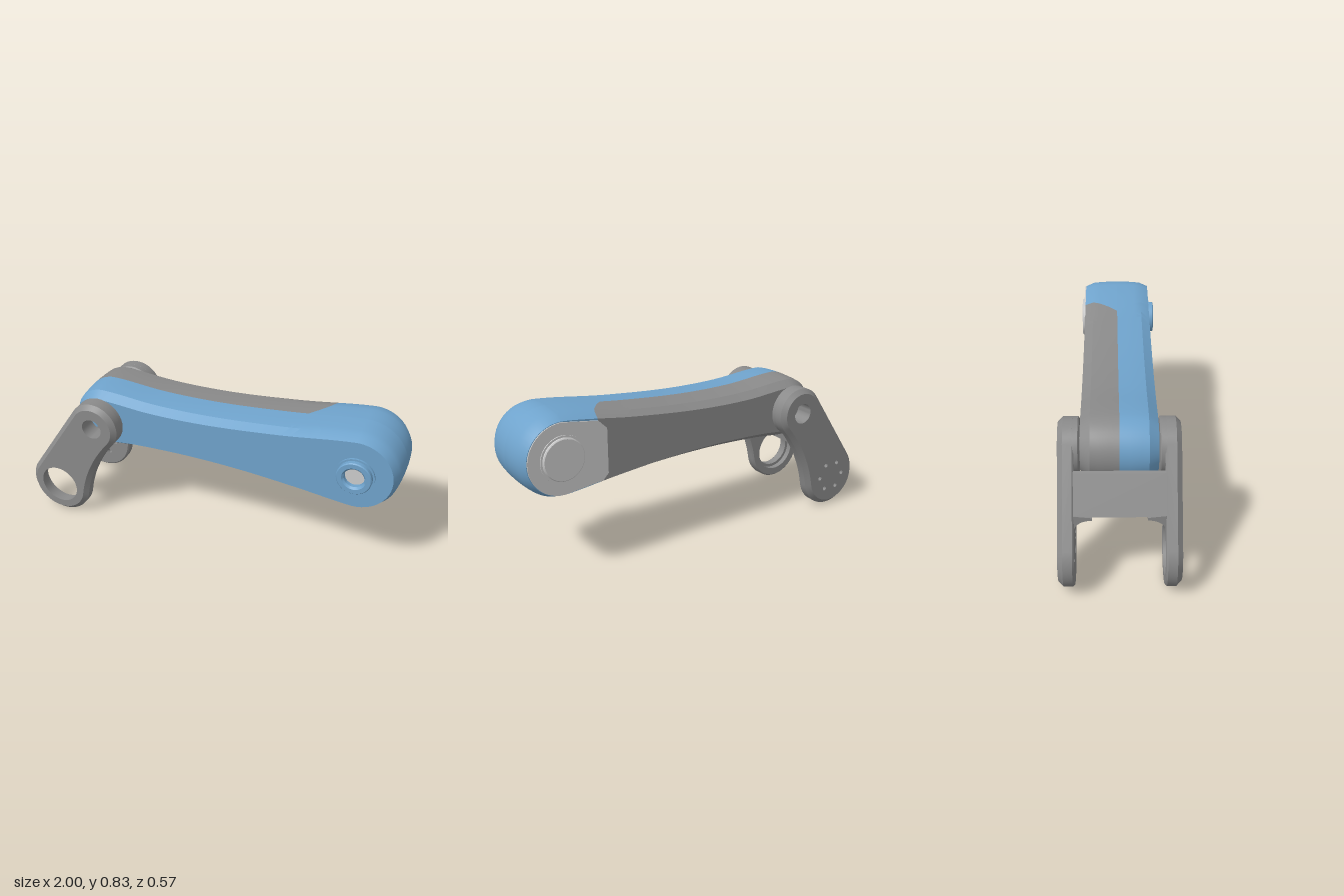
import * as THREE from 'three';
import { toCreasedNormals } from 'three/addons/utils/BufferGeometryUtils.js';

const paint = (color) => new THREE.MeshStandardMaterial({ color, side: THREE.DoubleSide });
const blue = paint(0x6fa3cc);
const dark = paint(0x8a8a8a);
const light = paint(0xcccccc);

const ELBOW = [-0.59, 0.6];   // bracket end of the arm
const WRIST = [0.79, 0.625];  // wide end of the arm
const HIP = [-0.83, 0.18];    // lower end of the bracket

function add(parent, name, geometry, material, x = 0, y = 0, z = 0) {
  const mesh = new THREE.Mesh(geometry, material);
  mesh.name = name;
  mesh.position.set(x, y, z);
  parent.add(mesh);
  return mesh;
}

// Points on an arc, angles in degrees
function arc([cx, cy], r, from, to, n = 24) {
  return Array.from({ length: n + 1 }, (_, i) => {
    const a = THREE.MathUtils.degToRad(from + ((to - from) * i) / n);
    return new THREE.Vector2(cx + r * Math.cos(a), cy + r * Math.sin(a));
  });
}

// Skin through cross-sections [{ z, points }]
function loft(sections, closed) {
  const n = sections[0].points.length, pos = [], index = [];
  for (const s of sections) for (const p of s.points) pos.push(p.x, p.y, s.z);
  for (let i = 0; i < sections.length - 1; i++) {
    for (let j = 0; j < (closed ? n : n - 1); j++) {
      const a = i * n + j, b = i * n + ((j + 1) % n);
      index.push(a, b, b + n, a, b + n, a + n);
    }
  }
  const g = new THREE.BufferGeometry();
  g.setAttribute('position', new THREE.Float32BufferAttribute(pos, 3));
  g.setIndex(index);
  return toCreasedNormals(g, 0.35);
}

// Turned part along z from [radius, z] pairs
function turned(profile, n = 40) {
  const g = new THREE.LatheGeometry(profile.map(([r, z]) => new THREE.Vector2(r, z)), n);
  return toCreasedNormals(g.rotateX(Math.PI / 2), 0.5);
}

function flat(points, holes = []) {
  const shape = new THREE.Shape(points);
  for (const [x, y, r] of holes) shape.holes.push(new THREE.Path().absarc(x, y, r, 0, Math.PI * 2, true));
  return new THREE.ShapeGeometry(shape, 20);
}

// ---- arm ----
function edgeCurve(xs, ys) {
  const c = new THREE.CubicInterpolant(xs, ys, 1);
  c.settings = { endingStart: THREE.ZeroSlopeEnding, endingEnd: THREE.ZeroSlopeEnding };
  return (x) => c.evaluate(x)[0];
}
const topY = edgeCurve([-0.59, -0.3, 0, 0.4, 0.79], [0.765, 0.746, 0.75, 0.785, 0.835]);
const bottomY = edgeCurve([-0.59, -0.4, -0.1, 0.2, 0.5, 0.79], [0.435, 0.453, 0.467, 0.463, 0.442, 0.415]);
const CROWN = [[0, 0], [0.05, 0.001], [0.1, 0.004], [0.135, 0.008], [0.18, null]];

// Half of the arm outline, split at x = seam; inset is larger towards the elbow at the rim
function armOutline(half, seam, inset) {
  const inAt = (x) => inset ?? THREE.MathUtils.mapLinear(x, ELBOW[0], WRIST[0], 0.042, 0.027);
  const run = (curve, from, to, sign) => Array.from({ length: 25 }, (_, i) => {
    const x = from + ((to - from) * i) / 24;
    return new THREE.Vector2(x, curve(x) + sign * inAt(x));
  });
  const end = half === 'elbow' ? ELBOW[0] : WRIST[0];
  const top = (a, b) => run(topY, a, b, -1), bottom = (a, b) => run(bottomY, a, b, 1);
  return half === 'elbow'
    ? [...top(seam, end), ...arc(ELBOW, 0.165 - inAt(end), 90, 270).slice(1, -1), ...bottom(end, seam)]
    : [...bottom(seam, end), ...arc(WRIST, 0.21 - inAt(end), -90, 90).slice(1, -1), ...top(end, seam)];
}

function buildArm() {
  const arm = new THREE.Group();
  arm.name = 'arm';
  for (const side of [1, -1]) {
    for (const half of ['elbow', 'wrist']) {
      const sections = CROWN.map(([d, inset]) => ({
        z: side * d,
        points: armOutline(half, 0.49 + 0.11 * Math.sin((Math.PI / 2) * (d / 0.18)), inset),
      }));
      if (side < 0) sections.reverse();
      const rim = sections[side > 0 ? sections.length - 1 : 0];
      const mat = side < 0 && half === 'elbow' ? dark : blue;
      const label = half + (side > 0 ? 'Front' : 'Back');
      add(arm, label + 'Shell', loft(sections, false), mat);
      const face = add(arm, label + 'Face', flat(rim.points), mat, 0, 0, 0.18 * side);
      if (side < 0) { face.geometry.scale(1, 1, -1); face.geometry.index.array.reverse(); face.geometry.computeVertexNormals(); }
    }
  }

  // Hollow boss at the front of the wide end
  const [wx, wy] = WRIST;
  add(arm, 'wristBoss', turned([[0.097, 0.178], [0.097, 0.19], [0.0875, 0.19], [0.0875, 0.21],
    [0.083, 0.215], [0.06, 0.215], [0.05, 0.205], [0.05, 0.181]]), blue, wx, wy);
  add(arm, 'wristShaft', turned([[0.05, 0.184], [0, 0.184]]), light, wx, wy);

  // Cover plate and round cap at the back
  const plate = [...arc(WRIST, 0.18, -90, 90), new THREE.Vector2(0.6, 0.775), new THREE.Vector2(0.555, 0.73),
    new THREE.Vector2(0.555, 0.5), new THREE.Vector2(0.585, 0.468)];
  add(arm, 'coverPlate', new THREE.ExtrudeGeometry(new THREE.Shape(plate), { depth: 0.008, bevelEnabled: false }),
    light, 0, 0, -0.186);
  add(arm, 'coverRim', turned([[0.118, -0.18], [0.118, -0.191], [0.108, -0.191]]), light, wx, wy);
  add(arm, 'coverCap', turned([[0.107, -0.18], [0.107, -0.198], [0.102, -0.202], [0, -0.202]]), light, wx, wy);

  // Small port underneath, key inside the elbow joint
  add(arm, 'port', new THREE.BoxGeometry(0.06, 0.012, 0.035), light, 0.78, 0.422, 0.1);
  for (const s of [1, -1])
    add(arm, 'elbowKey', new THREE.BoxGeometry(0.045, 0.1, 0.012), dark, ...ELBOW, 0.18 * s);
  return arm;
}

// ---- bracket ----
function strutOutline(inset) {
  const low = arc(HIP, 0.172 - inset, 145.9, 350, 30);
  const high = arc(ELBOW, 0.135 - inset, -40, 145.9, 26);
  const a = low[low.length - 1], b = high[0];
  const bend = new THREE.CubicBezierCurve(a, new THREE.Vector2(a.x + 0.024, a.y + 0.138),
    new THREE.Vector2(b.x - 0.09, b.y - 0.107), b);
  return [...low, ...bend.getPoints(14).slice(1, -1), ...high];
}

function buildStrut(isFront) {
  const strut = new THREE.Group();
  strut.name = isFront ? 'frontStrut' : 'backStrut';
  const inner = 0.207, outer = 0.283;
  const bolts = arc(HIP, 0.082, 0, 300, 5).map((p) => [p.x, p.y, 0.012]);
  const pivot = [...ELBOW, 0.055];
  add(strut, 'strutEdge', loft([
    { z: inner, points: strutOutline(0.008) }, { z: inner + 0.008, points: strutOutline(0) },
    { z: outer - 0.024, points: strutOutline(0) }, { z: outer, points: strutOutline(0.024) },
  ], true), dark);
  add(strut, 'strutInnerFace', flat(strutOutline(0.008),
    [pivot, ...(isFront ? [[...HIP, 0.125]] : [...bolts, [...HIP, 0.02]])]), dark, 0, 0, inner);
  add(strut, 'strutOuterFace', flat(strutOutline(0.024),
    [pivot, ...(isFront ? [[...HIP, 0.108]] : bolts)]), dark, 0, 0, outer);

  // Collar around the elbow pivot
  add(strut, 'pivotCollar', turned([[0.135, inner + 0.01], [0.135, 0.19], [0.128, 0.184], [0.055, 0.184], [0.055, outer]]),
    dark, ...ELBOW);

  // Stepped bearing seat in front, bolt circle at the back
  if (isFront) {
    add(strut, 'bearingSeat', turned([[0.125, inner], [0.125, 0.238], [0.108, 0.238], [0.108, outer]], 48), dark, ...HIP);
  } else {
    for (const [x, y, r] of bolts) add(strut, 'boltHole', turned([[r, inner], [r, outer]], 20), dark, x, y);
    add(strut, 'centreDimple', turned([[0.02, inner], [0.02, 0.22], [0, 0.22]], 24), dark, ...HIP);
    strut.scale.z = -1;
  }
  return strut;
}

function buildBracket() {
  const bracket = new THREE.Group();
  bracket.name = 'bracket';
  bracket.add(buildStrut(true), buildStrut(false));

  // Cross web, hollowed to clear the arm
  const web = [new THREE.Vector2(-0.885, 0.405), new THREE.Vector2(-0.62, 0.385),
    ...arc(ELBOW, 0.178, 262, 188, 16), new THREE.Vector2(-0.78, 0.57)];
  add(bracket, 'crossWeb', toCreasedNormals(new THREE.ExtrudeGeometry(new THREE.Shape(web),
    { depth: 0.42, bevelEnabled: false }), 0.4), dark, 0, 0, -0.21);

  // Fillets under the web
  for (const s of [1, -1]) {
    const f = new THREE.Shape();
    f.moveTo(-0.21 * s, 0.41);
    f.lineTo(-0.21 * s, 0.325);
    f.bezierCurveTo(-0.205 * s, 0.362, -0.175 * s, 0.386, -0.125 * s, 0.386);
    f.lineTo(-0.125 * s, 0.4);
    const g = new THREE.ExtrudeGeometry(f, { depth: 0.265, bevelEnabled: false, curveSegments: 10 });
    add(bracket, 'webFillet', toCreasedNormals(g.rotateY(Math.PI / 2), 0.4), dark, -0.885, 0, 0);
  }
  return bracket;
}

export function createModel() {
  const model = new THREE.Group();
  model.name = 'jointedArm';
  model.add(buildArm(), buildBracket());
  return model;
}
